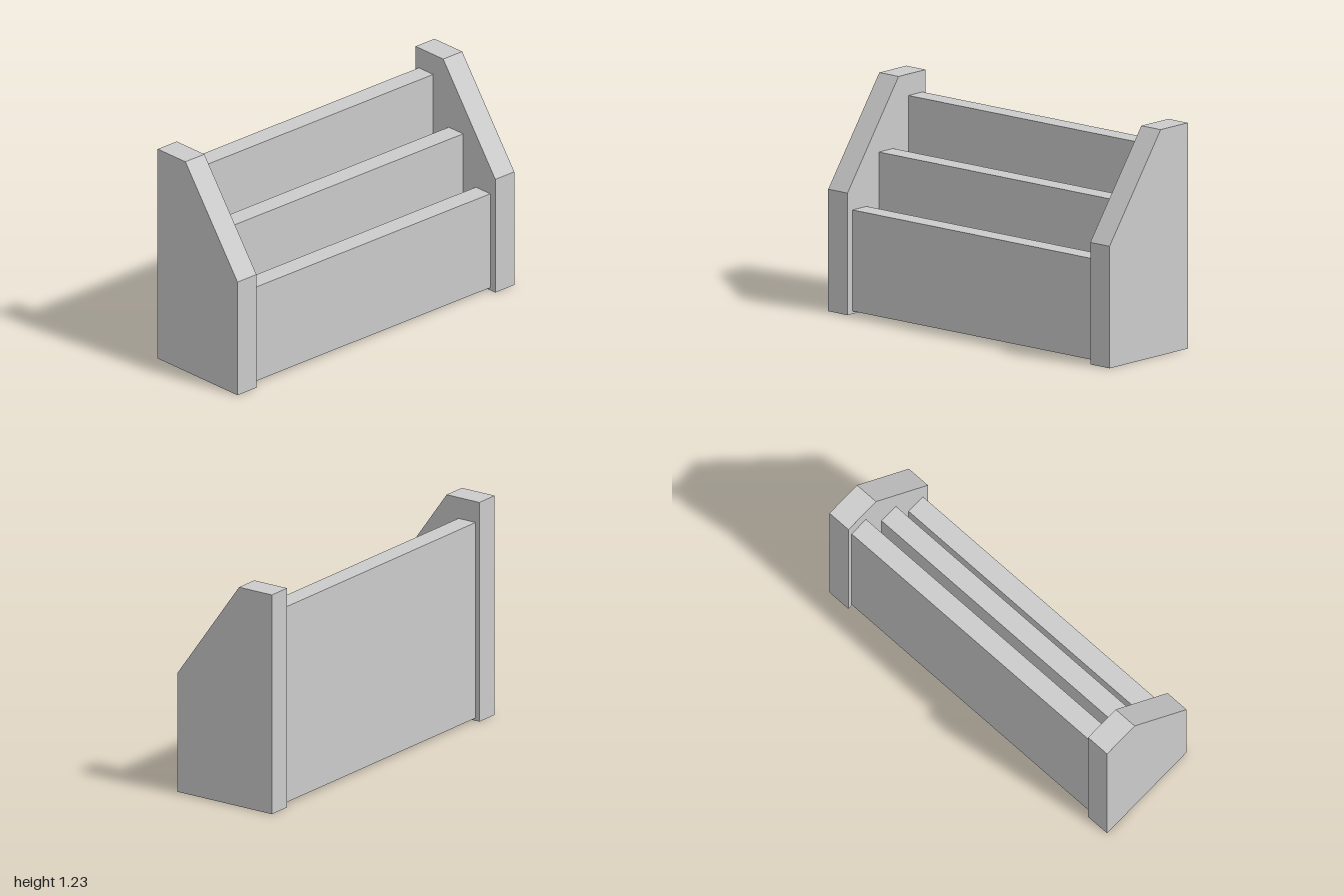
import * as THREE from 'three';

export function createModel() {
  const group = new THREE.Group();
  const material = new THREE.MeshStandardMaterial({ color: 0xcccccc, flatShading: true });
  const inner = 0.863; // inner face of the end boards
  const thickness = 1 - inner;

  // End boards: side outline drawn as (z, y), sloping down toward the front
  const outline = new THREE.Shape([
    [-0.31, 0], [0.31, 0], [0.31, 0.663], [-0.095, 1.227], [-0.31, 1.227],
  ].map(([z, y]) => new THREE.Vector2(z, y)));
  const endGeometry = new THREE.ExtrudeGeometry(outline, { depth: thickness, bevelEnabled: false });
  endGeometry.rotateY(-Math.PI / 2).translate(thickness / 2, 0, 0);

  for (const [name, side] of [['leftEndBoard', 1], ['rightEndBoard', -1]]) {
    const board = new THREE.Mesh(endGeometry, material);
    board.name = name;
    board.position.x = side * (inner + thickness / 2);
    group.add(board);
  }

  // Cross panels, stepping up from front to back, raised just off the ground
  const bottom = 0.015;
  const panels = [
    ['frontPanel', 0.215, 0.565],
    ['middlePanel', 0.004, 0.843],
    ['backPanel', -0.229, 1.11],
  ];
  for (const [name, z, top] of panels) {
    const panel = new THREE.Mesh(new THREE.BoxGeometry(inner * 2, top - bottom, 0.112), material);
    panel.name = name;
    panel.position.set(0, (top + bottom) / 2, z);
    group.add(panel);
  }

  return group;
}
